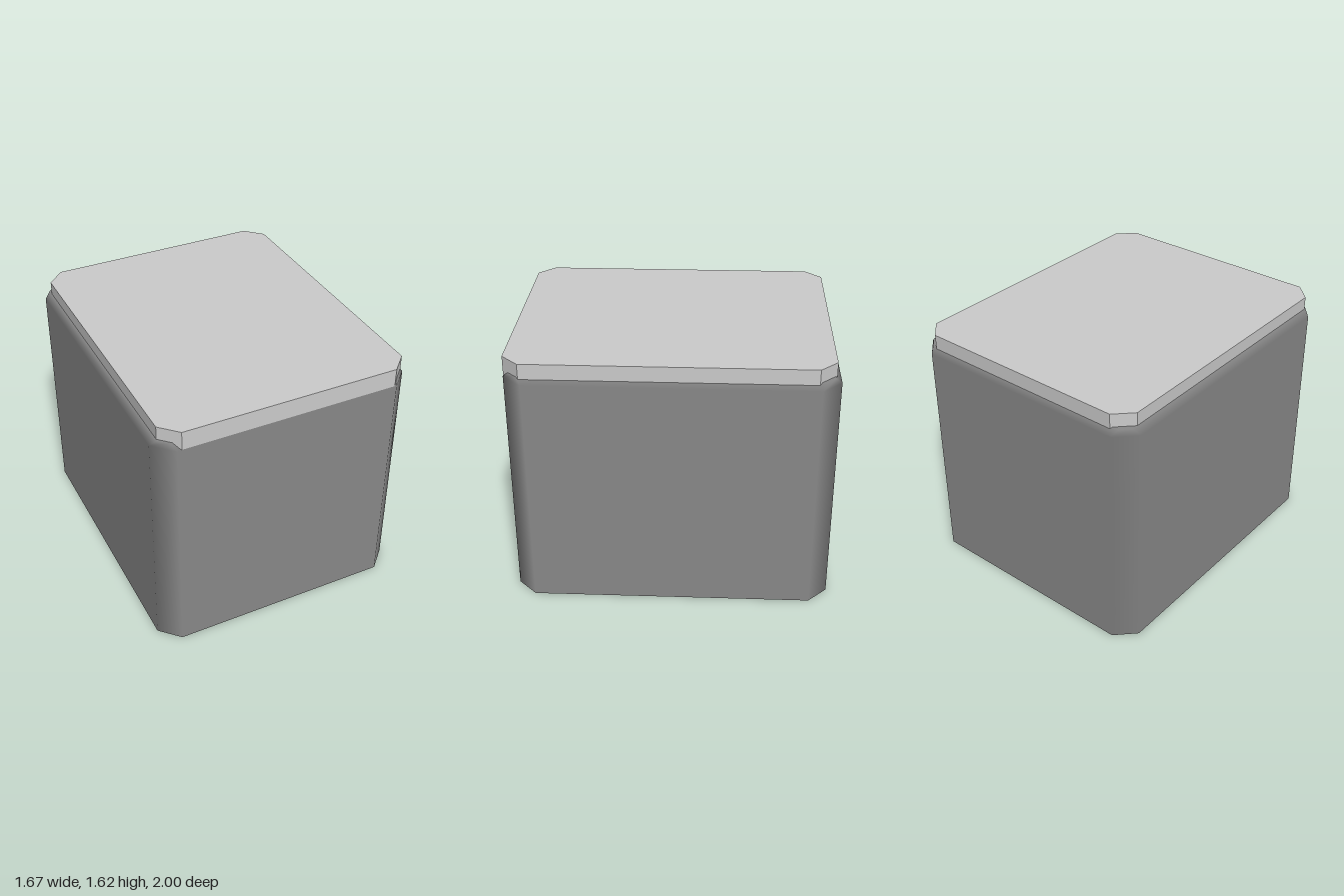
import * as THREE from 'three';

// Rectangle with cut corners, as 8 [x, z] points
function octagon(hx, hz, cut) {
  const a = hx - cut, b = hz - cut;
  return [[a, hz], [hx, b], [hx, -b], [a, -hz], [-a, -hz], [-hx, -b], [-hx, b], [-a, hz]];
}

// Stack of octagon rings [halfX, halfZ, cornerCut, y], optionally capped at each end
function loft(rings, { capStart = false, capEnd = false } = {}) {
  const pos = [], idx = [];
  for (const [hx, hz, cut, y] of rings) {
    for (const [x, z] of octagon(hx, hz, cut)) pos.push(x, y, z);
  }
  for (let r = 0; r < rings.length - 1; r++) {
    for (let i = 0; i < 8; i++) {
      const a = r * 8 + i, b = r * 8 + (i + 1) % 8;
      idx.push(a, b, b + 8, a, b + 8, a + 8);
    }
  }
  const last = (rings.length - 1) * 8;
  for (let i = 1; i < 7; i++) {
    if (capStart) idx.push(0, i + 1, i);
    if (capEnd) idx.push(last, last + i, last + i + 1);
  }
  const g = new THREE.BufferGeometry();
  g.setAttribute('position', new THREE.Float32BufferAttribute(pos, 3));
  g.setIndex(idx);
  g.computeVertexNormals();
  return g;
}

// Keep the four broad walls flat, so only corners and shoulder blend
function shadeWalls(geometry) {
  const sides = [[0, 1], [1, 0], [1, 0], [0, -1], [0, -1], [-1, 0], [-1, 0], [0, 1]];
  const normal = geometry.attributes.normal;
  for (let i = 0; i < normal.count; i++) {
    const [x, z] = sides[i % 8];
    if (i < 16) normal.setXYZ(i, x, 0, z);
    else normal.setXYZ(i, 0, 1, 0);
  }
  return geometry;
}

export function createModel() {
  const group = new THREE.Group();
  const bodyMat = new THREE.MeshStandardMaterial({ color: 0x888888 });
  const rimMat = new THREE.MeshStandardMaterial({ color: 0x888888, flatShading: true });
  const lidMat = new THREE.MeshStandardMaterial({ color: 0xcccccc, flatShading: true });
  const baseMat = new THREE.MeshStandardMaterial({ color: 0xcccccc });

  const add = (name, geometry, material) => {
    const mesh = new THREE.Mesh(geometry, material);
    mesh.name = name;
    group.add(mesh);
    return mesh;
  };

  // Straight walls with softly shaded corners and a bevelled shoulder
  add('body', shadeWalls(loft([
    [0.835, 1.0, 0.12, 0],
    [0.835, 1.0, 0.12, 1.5],
    [0.795, 0.96, 0.055, 1.54],
  ], { capEnd: true })), bodyMat);

  // Thin rim and the groove inside it, running from groove ceiling down to the outer edge
  add('baseRim', loft([
    [0.76, 0.925, 0.09, 0.11],
    [0.82, 0.985, 0.115, 0.11],
    [0.82, 0.985, 0.115, 0],
    [0.835, 1.0, 0.12, 0],
  ]), rimMat);

  // Bottom plate with rounded edges, set within the rim
  add('basePlate', loft([
    [0.735, 0.9, 0.09, 0.002],
    [0.775, 0.94, 0.1, 0.03],
    [0.785, 0.95, 0.1, 0.11],
  ], { capStart: true }), baseMat);

  // Faceted lid, sitting slightly forward and to the left
  const lid = add('lid', loft([
    [0.801, 0.985, 0.107, 1.505],
    [0.801, 0.985, 0.107, 1.625],
  ], { capStart: true, capEnd: true }), lidMat);
  lid.position.set(0.007, 0, 0.015);

  return group;
}
